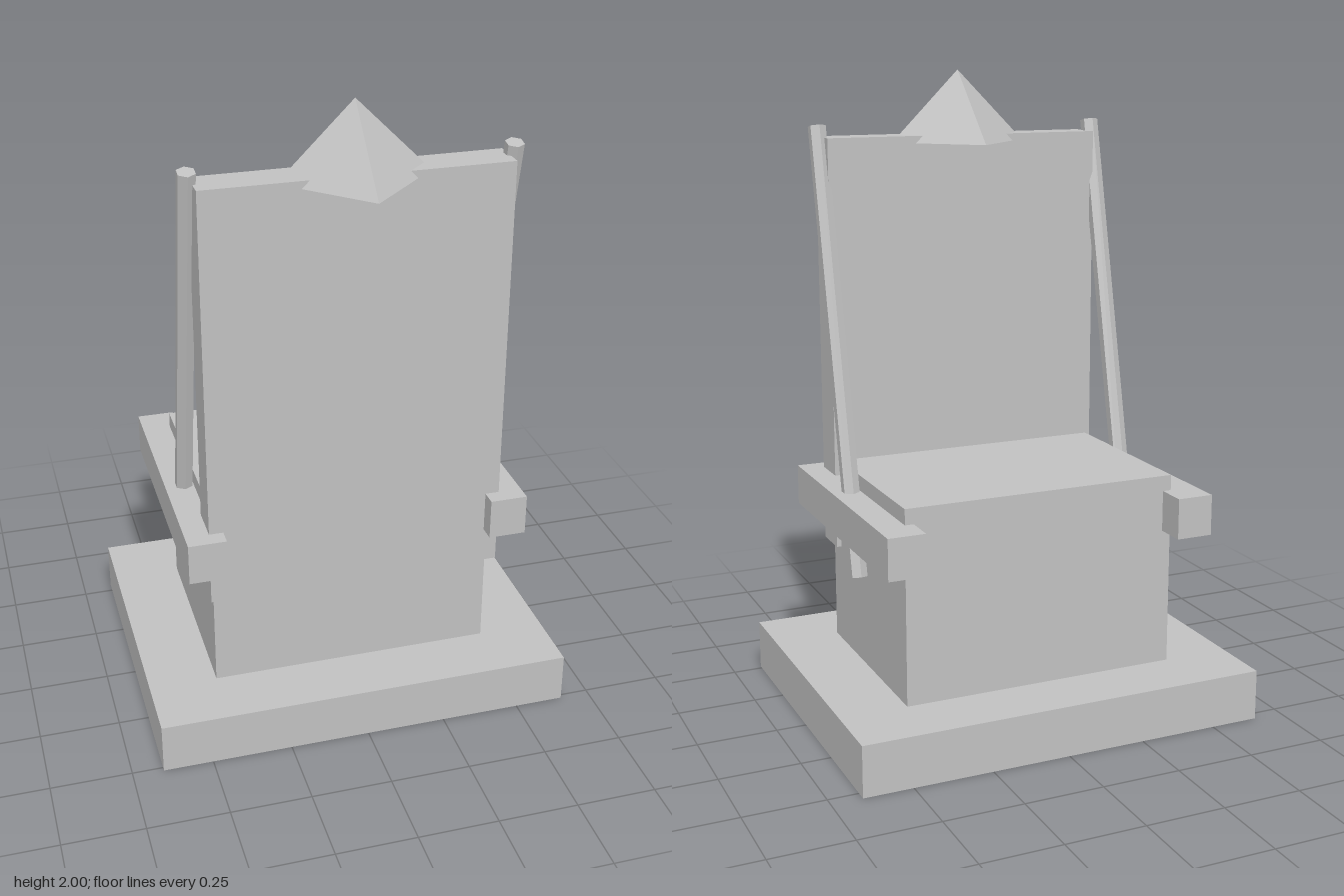
import * as THREE from 'three';

export function createModel() {
  const group = new THREE.Group();
  group.name = 'throne';
  const stone = new THREE.MeshStandardMaterial({ color: 0xc0c0c0, flatShading: true });
  stone.name = 'grey stone';

  const add = (name, geometry, x, y, z) => {
    const mesh = new THREE.Mesh(geometry, stone);
    mesh.name = name;
    mesh.position.set(x, y, z);
    group.add(mesh);
    return mesh;
  };
  // Box given by its width, bottom and top, back and front z
  const block = (name, x, width, y0, y1, z0, z1) =>
    add(name, new THREE.BoxGeometry(width, y1 - y0, z1 - z0), x, (y0 + y1) / 2, (z0 + z1) / 2);

  block('plinth', 0, 1.31, 0, 0.16, -0.534, 0.514);
  block('seat', 0, 0.886, 0.16, 0.773, -0.337, 0.317);
  block('backrest', 0, 0.918, 0.483, 1.798, 0.248, 0.366);

  // Pyramid finial, corners on the axes
  add('finial', new THREE.ConeGeometry(0.226, 0.225, 4), 0, 1.8875, 0.307);

  // Armrests and slanted hexagonal rods on both sides
  const low = new THREE.Vector3(0, 0.464, -0.003);
  const high = new THREE.Vector3(0, 1.833, 0.307);
  const length = low.distanceTo(high);
  const tilt = Math.atan2(high.z - low.z, high.y - low.y);
  for (const [side, s] of [['left', 1], ['right', -1]]) {
    block(side + 'Armrest', s * 0.474, 0.117, 0.595, 0.724, -0.435, 0.417);
    const rod = add(side + 'Rod', new THREE.CylinderGeometry(0.0285, 0.0285, length, 6),
      s * 0.473, (low.y + high.y) / 2, (low.z + high.z) / 2);
    rod.rotation.x = tilt;
  }
  return group;
}
